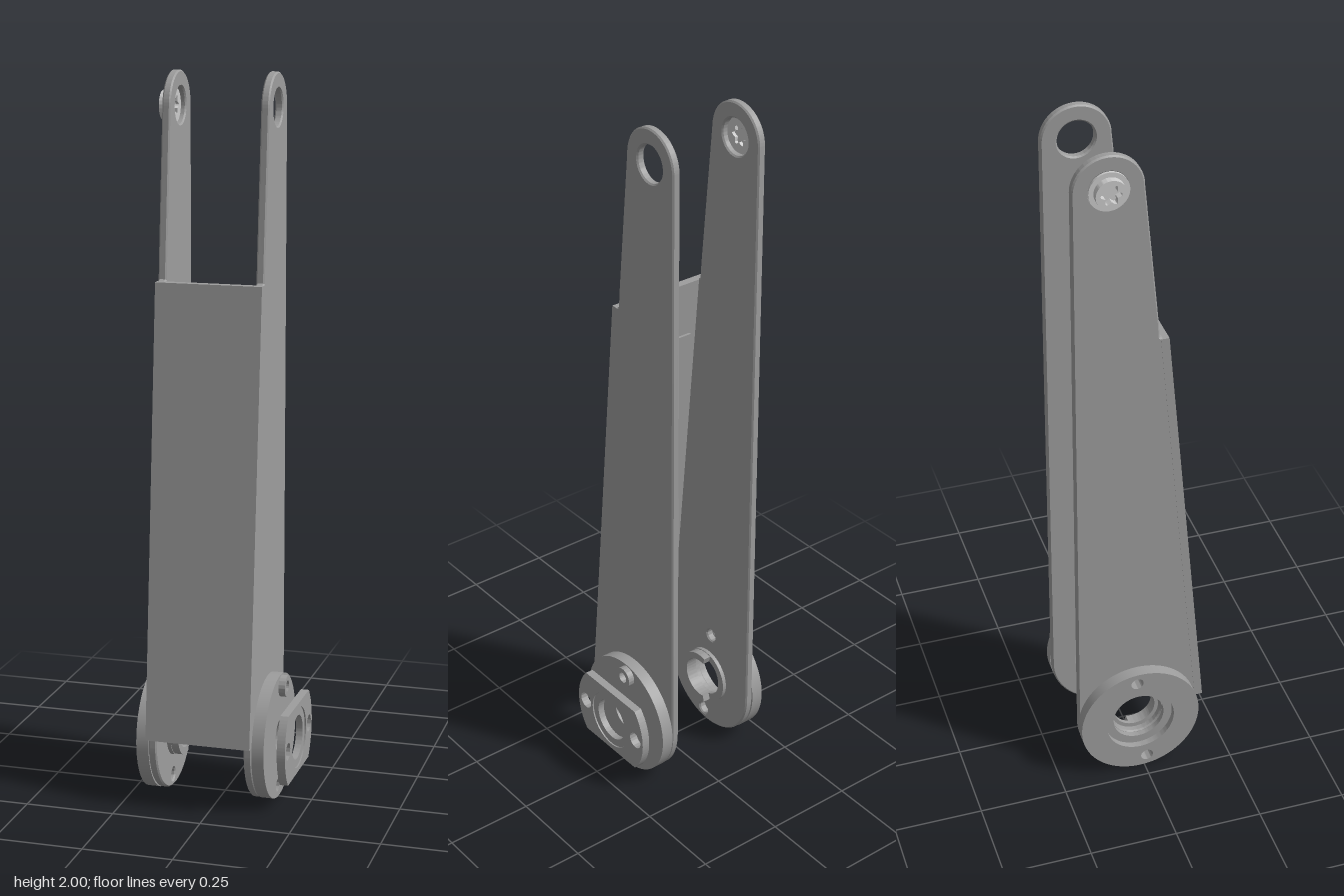
import * as THREE from 'three';
import { toCreasedNormals } from 'three/addons/utils/BufferGeometryUtils.js';

const HUB = [0.012, 0.178];   // lower pivot as (-z, y)
const TIP = [0.091, 1.906];   // upper pivot as (-z, y)

export function createModel() {
  const model = new THREE.Group();
  const bodyMaterial = new THREE.MeshStandardMaterial({ color: 0x9d9d9d });
  const screwMaterial = new THREE.MeshStandardMaterial({ color: 0xcccccc });

  // Extrudes a side profile drawn in (-z, y) from x0 to x1
  function slab(name, shape, x0, x1, { bevel = 0, material = bodyMaterial } = {}) {
    const geo = new THREE.ExtrudeGeometry(shape, {
      depth: x1 - x0 - 2 * bevel, curveSegments: 48, bevelEnabled: bevel > 0,
      bevelThickness: bevel, bevelSize: bevel, bevelOffset: -bevel, bevelSegments: 1,
    });
    geo.translate(0, 0, x0 + bevel);
    geo.rotateY(Math.PI / 2);
    const mesh = new THREE.Mesh(toCreasedNormals(geo, 0.5), material);
    mesh.name = name;
    model.add(mesh);
  }

  const circle = ([u, v], r) => new THREE.Shape().absarc(u, v, r, 0, Math.PI * 2, false);
  const polygon = (pts) => new THREE.Shape(pts.map(([u, v]) => new THREE.Vector2(u, v)));
  const withHoles = (shape, ...holes) => {
    shape.holes.push(...holes);
    return shape;
  };
  const ring = (c, outer, inner) => withHoles(circle(c, outer), circle(c, inner));

  // Six-lobed drive recess
  function star([u, v], r) {
    const pts = [];
    for (let i = 0; i < 48; i++) {
      const a = (i / 48) * Math.PI * 2;
      const d = r * (0.82 + 0.18 * Math.cos(6 * a));
      pts.push([u + d * Math.cos(a), v + d * Math.sin(a)]);
    }
    return polygon(pts);
  }

  // Tapered side plate with rounded ends and a step where the front panel stops
  function sidePlate() {
    const s = new THREE.Shape();
    s.absarc(TIP[0], TIP[1], 0.094, Math.PI, 0, true);
    s.lineTo(0.186, HUB[1]);
    s.absarc(HUB[0], HUB[1], 0.174, 0, Math.PI, true);
    s.lineTo(-0.162, 0.2);
    s.lineTo(-0.175, 0.21);
    s.lineTo(-0.062, 1.445);
    s.lineTo(-0.045, 1.455);
    s.lineTo(-0.042, 1.5);
    return s;
  }

  const boltHoles = () => [circle([0.022, 0.32], 0.018), circle([-0.008, 0.038], 0.018)];

  slab('leftSidePlate', withHoles(sidePlate(), circle(TIP, 0.05), circle(HUB, 0.1)), 0.097, 0.12, { bevel: 0.004 });
  slab('rightSidePlate', withHoles(sidePlate(), circle(TIP, 0.05), circle(HUB, 0.07), ...boltHoles()), -0.174, -0.151, { bevel: 0.004 });

  // Sloping front panel with a shallow pad on its inner face
  slab('frontPanel', polygon([[-0.185, 0.2], [-0.162, 0.2], [-0.047, 1.45], [-0.07, 1.45]]), -0.175, 0.12);
  slab('innerPad', polygon([[-0.076, 1.17], [-0.065, 1.17], [-0.054, 1.29], [-0.065, 1.29]]), -0.13, 0.08);

  // Round hub discs on the outside of the plates
  slab('leftHubDisc', withHoles(circle(HUB, 0.175), circle(HUB, 0.047), ...boltHoles()), 0.12, 0.154);
  slab('rightHubDisc', withHoles(circle(HUB, 0.175), circle(HUB, 0.1), ...boltHoles()), -0.209, -0.174);
  slab('rightHubRing', ring(HUB, 0.1, 0.075), -0.19, -0.174);
  slab('hubPin', ring([0.025, 0.32], 0.03, 0.016), 0.154, 0.172);

  // Flat-sided coupling plate set off from the left hub, with a stepped bore
  function coupling(bore) {
    const s = new THREE.Shape();
    const flat = Math.asin(0.1 / 0.152);
    s.absarc(HUB[0], HUB[1], 0.152, -flat, flat, false);
    s.absarc(HUB[0], HUB[1], 0.152, Math.PI - flat, Math.PI + flat, false);
    s.closePath();
    const sideHoles = [-1, 1].map((side) => circle([HUB[0] + side * 0.117, HUB[1]], 0.024));
    return withHoles(s, circle(HUB, bore), ...sideHoles);
  }
  slab('couplingPlate', coupling(0.062), 0.185, 0.204);
  slab('couplingFace', coupling(0.085), 0.204, 0.208);

  // Stepped bearing boss inside the right plate, with a partial claw ring
  slab('bearingBoss', ring(HUB, 0.082, 0.06), -0.152, -0.14);
  const claw = new THREE.Shape();
  claw.absarc(HUB[0], HUB[1], 0.08, 1.3, Math.PI * 2 - 1.3, false);
  claw.absarc(HUB[0], HUB[1], 0.06, Math.PI * 2 - 1.3, 1.3, true);
  slab('bearingClaw', claw, -0.14, -0.118);

  // Upper pivot screw, its inner end sunk in the right plate
  const screw = { material: screwMaterial };
  slab('screwFlange', circle(TIP, 0.053), -0.181, -0.174, screw);
  slab('screwHead', withHoles(circle(TIP, 0.04), star(TIP, 0.028)), -0.2, -0.181, screw);
  slab('screwEnd', withHoles(circle(TIP, 0.047), star(TIP, 0.028)), -0.174, -0.165, screw);

  return model;
}
